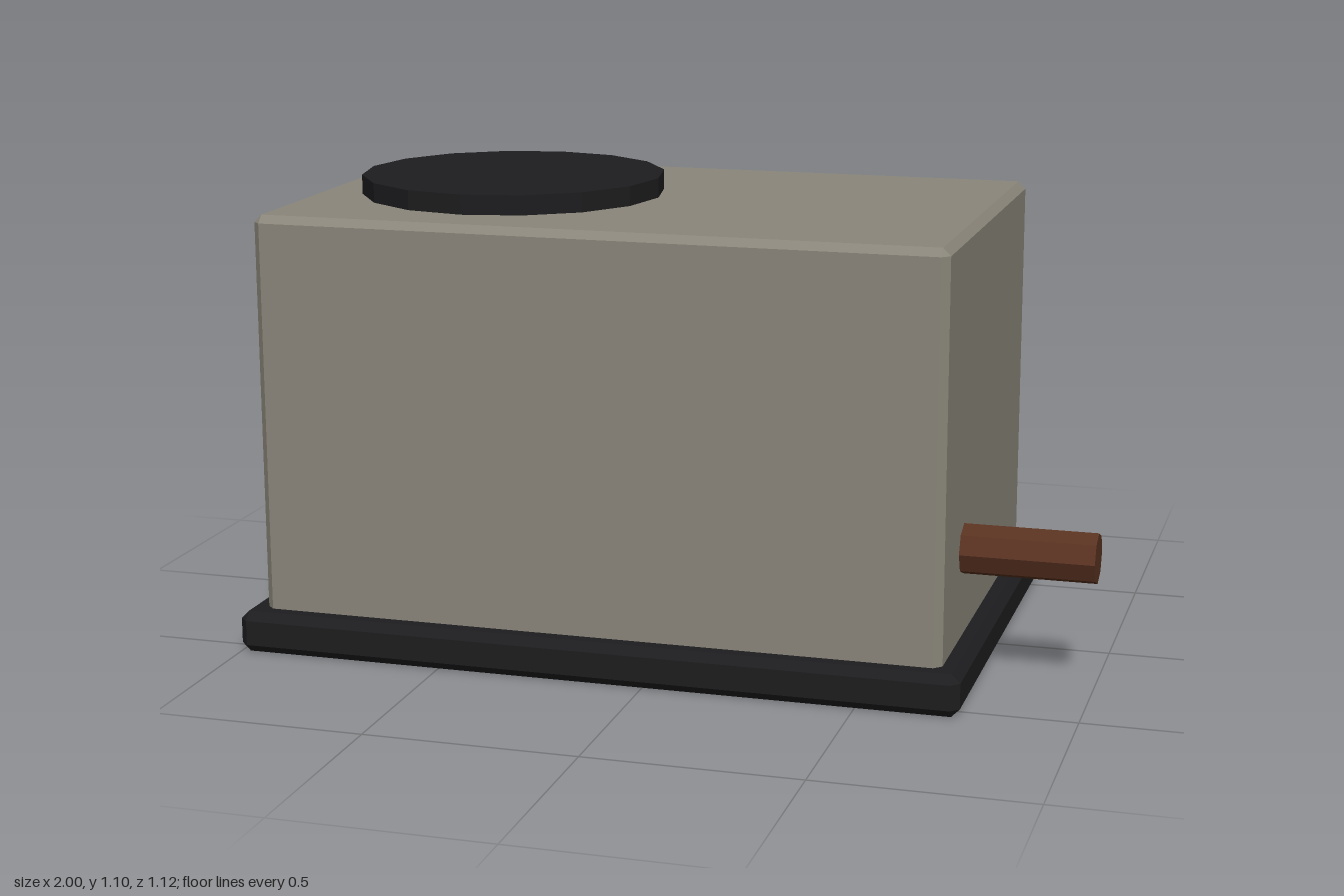
import * as THREE from 'three';
import { ConvexGeometry } from 'three/addons/geometries/ConvexGeometry.js';

const material = (color) => new THREE.MeshStandardMaterial({ color, flatShading: true });

// Box with a single flat chamfer on every edge
function chamferBox(w, h, d, c) {
  const points = [];
  for (const sx of [-1, 1]) for (const sy of [-1, 1]) for (const sz of [-1, 1]) {
    for (let axis = 0; axis < 3; axis++) {
      const inset = [c, c, c];
      inset[axis] = 0;
      points.push(new THREE.Vector3(
        sx * (w / 2 - inset[0]), sy * (h / 2 - inset[1]), sz * (d / 2 - inset[2])));
    }
  }
  return new ConvexGeometry(points);
}

export function createModel() {
  const model = new THREE.Group();
  const casing = material(0x8a867a);
  const black = material(0x1d1d1f);
  const rust = material(0x5a3220);

  const add = (name, geometry, mat, x, y, z) => {
    const mesh = new THREE.Mesh(geometry, mat);
    mesh.name = name;
    mesh.position.set(x, y, z);
    model.add(mesh);
    return mesh;
  };

  // Plinth and main housing
  add('base', chamferBox(1.74, 0.1, 1.12, 0.02), black, -0.13, 0.05, 0);
  add('housing', chamferBox(1.64, 1.0, 1.02, 0.018), casing, -0.13, 0.55, 0);

  // Round fan cover on the roof
  add('fanCover', new THREE.CylinderGeometry(0.368, 0.368, 0.06, 16), black, -0.487, 1.067, 0);

  // Outlet pipe on the side
  const pipe = add('outletPipe', new THREE.CylinderGeometry(0.06, 0.06, 0.34, 8), rust, 0.83, 0.31, 0.26);
  pipe.rotation.z = Math.PI / 2;

  // Vent slots on the back
  for (let i = 0; i < 6; i++) {
    add(`ventSlot${i + 1}`, new THREE.BoxGeometry(0.52, 0.03, 0.03), black, 0.3, 0.308 + i * 0.1025, -0.507);
  }

  // Access panel on the back
  add('accessPanel', new THREE.BoxGeometry(0.62, 0.256, 0.03), rust, -0.54, 0.463, -0.508);

  return model;
}
